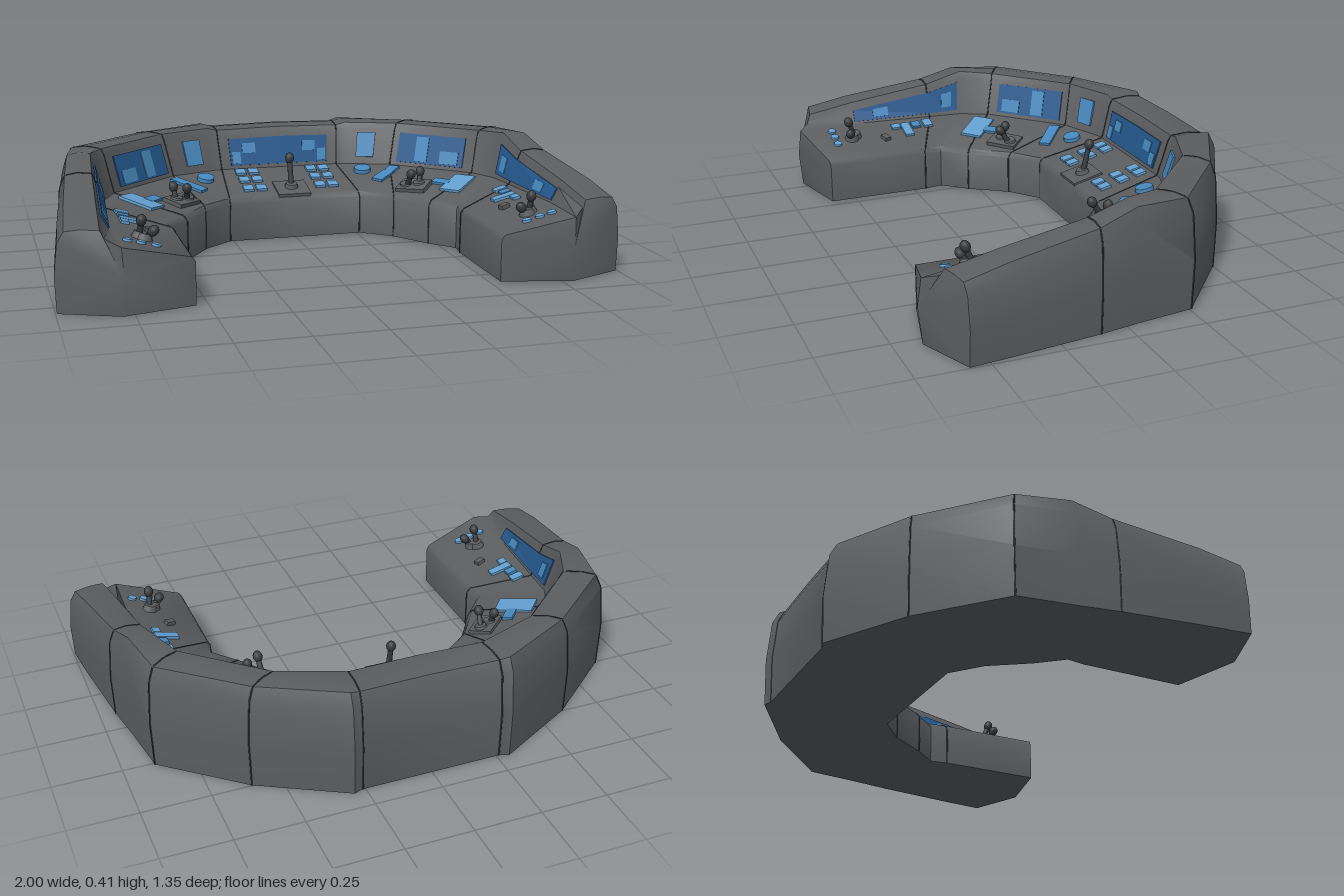
import * as THREE from 'three';
import { toCreasedNormals } from 'three/addons/utils/BufferGeometryUtils.js';

const mat = (name, color, extra) => Object.assign(new THREE.MeshStandardMaterial({ color }), { name }, extra);

// Half plan, centre to arm end: outer xz, crest inner xz, screen foot xz, desk edge xz, crest height
const STATIONS = [
  [0, -.665, 0, -.49, 0, -.455, 0, -.19, .395],
  [.26, -.665, .25, -.49, .24, -.455, .262, -.19, .39],
  [.295, -.678, .29, -.485, .275, -.45, .275, -.18, .40],
  [.61, -.50, .48, -.415, .45, -.385, .375, -.10, .40],
  [.89, -.26, .745, -.17, .715, -.14, .47, .04, .40],
  [.92, -.04, .80, -.05, .765, -.03, .55, .13, .41],
  [.945, .10, .81, .10, .775, .10, .54, .20, .365],
  [.985, .42, .83, .42, .80, .42, .54, .42, .315],
  [1.0, .57, .84, .60, .79, .655, .54, .595, .28],
];
const SCREEN = 6; // profile edge that carries the screens

// Cross-section: up the outer wall, over the crest, down the screen, across the desk
function section([ox, oz, ix, iz, sx, sz, dx, dz, h]) {
  const wall = (t, y) => new THREE.Vector3(ox + (ix - ox) * t, y, oz + (iz - oz) * t);
  const desk = (t, y) => new THREE.Vector3(sx + (dx - sx) * t, y, sz + (dz - sz) * t);
  return [
    wall(.03, 0), wall(0, h * .45), wall(.08, h * .85), wall(.22, h * .98), wall(.55, h),
    wall(.93, h * .985), wall(1, h - .03), desk(0, .23), desk(.95, .168), desk(1, .15),
    desk(1, 0), desk(0, 0),
  ];
}

const half = STATIONS.map(section);
const flip = (p) => new THREE.Vector3(-p.x, p.y, p.z);

function geometryFrom(points) {
  const g = new THREE.BufferGeometry().setFromPoints(points);
  g.computeVertexNormals();
  return g;
}

// Loft of all sections with blunt noses on the two arm ends
function bodyGeometry() {
  const rings = [...half.slice(1).reverse().map((r) => r.map(flip)), ...half];
  const n = rings[0].length, tris = [];
  for (let s = 0; s < rings.length - 1; s++) {
    for (let i = 0; i < n; i++) {
      const j = (i + 1) % n;
      const a = rings[s][i], b = rings[s][j], c = rings[s + 1][j], d = rings[s + 1][i];
      tris.push(a, b, c, a, c, d);
    }
  }
  const nose = new THREE.Vector3(.785, .13, .668), last = rings[rings.length - 1];
  for (let i = 0; i < n; i++) {
    const p = last[i], q = last[(i + 1) % n];
    tris.push(nose, p, q, flip(nose), flip(q), flip(p));
  }
  return toCreasedNormals(geometryFrom(tris), .72);
}

// Thin plate on one face of the loft: segment, span along it, span down it
function plateGeometry(side, seg, t0, t1, v0, v1, lift) {
  const at = (t, v) => {
    const top = half[seg][SCREEN].clone().lerp(half[seg + 1][SCREEN], t);
    const low = half[seg][SCREEN + 1].clone().lerp(half[seg + 1][SCREEN + 1], t);
    const p = top.lerp(low, v);
    return side < 0 ? flip(p) : p;
  };
  const c = [at(t0, v0), at(t0, v1), at(t1, v1), at(t1, v0)];
  if (side < 0) c.reverse();
  const n = c[2].clone().sub(c[0]).cross(c[3].clone().sub(c[1])).normalize();
  const up = c.map((p) => p.clone().addScaledVector(n, lift));
  const dn = c.map((p) => p.clone().addScaledVector(n, lift - .008));
  const tris = [up[0], up[1], up[2], up[0], up[2], up[3]];
  for (let i = 0; i < 4; i++) {
    const j = (i + 1) % 4;
    tris.push(up[i], dn[i], dn[j], up[i], dn[j], up[j]);
  }
  return geometryFrom(tris);
}

export function createModel() {
  const root = new THREE.Group();
  root.name = 'wraparoundConsole';
  const grey = mat('consoleGrey', 0x5b5d5f);
  const dark = mat('darkTrim', 0x393b3d);
  const blue = mat('screenBlue', 0x24588c);
  const light = mat('displayLightBlue', 0x4688bd);
  const key = mat('buttonBlue', 0x629fcf);

  const add = (parent, name, geo, material) => {
    const m = new THREE.Mesh(geo, material);
    m.name = name;
    parent.add(m);
    return m;
  };

  const body = add(root, 'consoleBody', bodyGeometry(), grey);
  body.updateMatrixWorld();

  // Sets a part on the desk, aligned with the slope below it
  const ray = new THREE.Raycaster();
  const up = new THREE.Vector3(0, 1, 0);
  const mount = (obj, x, z, yaw = 0) => {
    ray.set(new THREE.Vector3(x, 2, z), new THREE.Vector3(0, -1, 0));
    const hit = ray.intersectObject(body)[0];
    obj.position.copy(hit.point);
    obj.quaternion.setFromUnitVectors(up, hit.face.normal)
      .multiply(new THREE.Quaternion().setFromAxisAngle(up, yaw));
    root.add(obj);
  };
  const button = (name, x, z, w, d, yaw = 0, material = key, h = .02) =>
    mount(add(root, name, new THREE.BoxGeometry(w, h, d), material), x, z, yaw);

  // Lever: plinth, leaning shaft and grip
  const lever = (name, x, z, yaw, height, lean) => {
    const g = new THREE.Group();
    g.name = name;
    add(g, 'leverPlinth', new THREE.CylinderGeometry(.022, .03, .024, 12), grey).position.y = .01;
    const arm = new THREE.Group();
    arm.name = 'leverArm';
    arm.rotation.x = lean;
    add(arm, 'leverShaft', new THREE.CylinderGeometry(.009, .012, height, 10), dark).position.y = height / 2;
    const grip = add(arm, 'leverGrip', new THREE.SphereGeometry(.018, 12, 8), dark);
    grip.position.y = height;
    grip.scale.y = 1.2;
    g.add(arm);
    mount(g, x, z, yaw);
  };

  // Screens: segment, span along, span down; then brighter areas on them
  const screens = [[0, 0, .83, .1, .9], [3, .08, .88, .08, .9], [5, .1, 1, .1, .88], [6, 0, 1, .1, .88]];
  const glows = [
    [0, .4, .62, .25, .55], [0, .66, .8, .5, .85], [2, .24, .62, .1, .8], [3, .3, .45, .15, .85],
    [3, .6, .82, .5, .85], [5, .3, .6, .3, .75], [6, .55, .75, .3, .75],
  ];
  // Panel joints, by station
  const joints = [1, 3, 4, 6];

  for (const side of [1, -1]) {
    for (const s of screens) add(root, 'screen', plateGeometry(side, ...s, .005), blue);
    for (const s of glows) add(root, 'screenReadout', plateGeometry(side, ...s, .008), light);
    for (const k of joints) {
      const pts = half[k].slice(0, 11).map((p) => (side < 0 ? flip(p) : p.clone()));
      const path = new THREE.CatmullRomCurve3(pts, false, 'catmullrom', 0);
      add(root, 'panelJoint', new THREE.TubeGeometry(path, 80, .0028, 5), dark);
    }

    // Key blocks of the centre desk
    for (const x of [.12, .172]) {
      for (const z of [-.415, -.345, -.27]) button('deskKey', side * x, z, .04, .042);
    }

    // Dial and slanted displays of the corner desk
    mount(add(root, 'dial', new THREE.CylinderGeometry(.033, .036, .03, 16), light), side * .325, -.36);
    for (const [x, z] of [[.37, -.265], [.405, -.295], [.44, -.325]]) {
      button('slantedKey', side * x, z, .05, .045, side * .75, light);
    }
    button('deskDisplay', side * .625, -.06, .15, .085, side * .75, key);
    button('deskDisplayBar', side * .575, -.105, .04, .07, side * .75, light);

    // Corner control cluster
    button('controlPlinth', side * .465, -.12, .12, .09, side * -.75, grey, .03);
    lever('cornerLever', side * .44, -.135, side * .5, .075, .5);
    lever('cornerLever', side * .485, -.115, side * -.6, .06, -.5);

    // Arm desk: keys, lever and a row of lamps
    for (const [x, z, w] of [[.725, .13, .05], [.725, .18, .04], [.70, .225, .09], [.73, .265, .03]]) {
      button('armKey', side * x, z, w, .036, 0, z === .18 ? light : key);
    }
    button('armSwitch', side * .66, .33, .035, .025, .3, grey, .03);
    lever('armLever', side * .705, .45, side * .4, .07, .4);
    lever('armLever', side * .69, .465, side * -1, .045, .6);
    for (const x of [.66, .71, .755]) {
      mount(add(root, 'armLamp', new THREE.CylinderGeometry(.016, .018, .016, 12), key), side * x, .532);
    }
  }

  // Centre control stick on its raised panel
  button('centrePanel', 0, -.255, .13, .12, 0, grey, .014);
  lever('centreStick', 0, -.26, 0, .12, -.45);
  return root;
}
